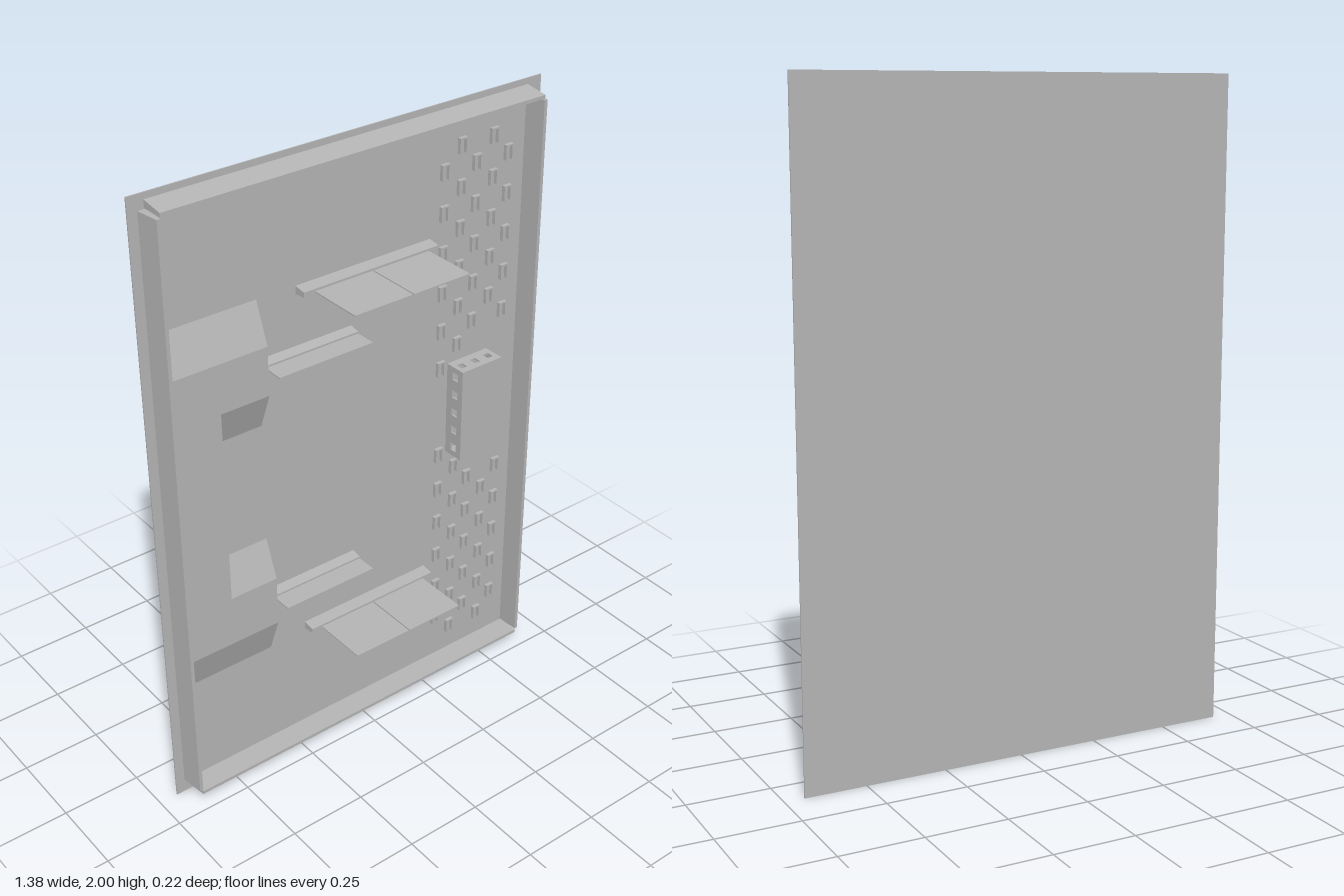
import * as THREE from 'three';

const BACK = -0.112;   // back face of the panel
const FACE = -0.108;   // front face of the panel

export function createModel() {
  const model = new THREE.Group();
  const grey = new THREE.MeshStandardMaterial({ color: 0xb4b4b4 });

  const add = (geometry, name, parent = model) => {
    const mesh = new THREE.Mesh(geometry, grey);
    mesh.name = name;
    parent.add(mesh);
    return mesh;
  };

  // box given by its limits on each axis
  const box = (name, x0, x1, y0, y1, z0, z1, parent) => {
    const g = new THREE.BoxGeometry(x1 - x0, y1 - y0, z1 - z0);
    g.translate((x0 + x1) / 2, (y0 + y1) / 2, (z0 + z1) / 2);
    return add(g, name, parent);
  };

  const extrude = (points, depth) => new THREE.ExtrudeGeometry(
    new THREE.Shape(points.map(([a, b]) => new THREE.Vector2(a, b))),
    { depth, bevelEnabled: false });

  // prism along x, with a profile of [y, z] points
  const prismX = (points, x0, x1) => extrude(points.map(([y, z]) => [-z, y]), x1 - x0)
    .rotateY(Math.PI / 2).translate(x0, 0, 0);

  // prism along y, with a profile of [x, z] points
  const prismY = (points, y0, y1) => extrude(points.map(([x, z]) => [x, -z]), y1 - y0)
    .rotateX(-Math.PI / 2).translate(0, y0, 0);

  // flat panel
  box('panel', -0.69, 0.69, 0, 2, BACK, FACE);

  // tapered rim, one half turned round to make the other
  for (const turn of [0, Math.PI]) {
    const rim = new THREE.Group();
    rim.name = turn ? 'rimRightAndBottom' : 'rimLeftAndTop';
    rim.position.y = 1;
    rim.rotation.z = turn;
    const profile = (inner) => [[inner, FACE], [inner + 0.024, FACE],
      [inner + 0.014, -0.034], [inner + 0.003, -0.034]];
    add(prismY(profile(0.636), -0.955, 0.955), 'sideRim', rim);
    add(prismX(profile(0.957), -0.64, 0.64), 'endRim', rim);
    model.add(rim);
  }

  // raised tray with sloping ends
  const tray = new THREE.Group();
  tray.name = 'raisedTray';
  model.add(tray);
  const trayTop = -0.062;
  const slab = (name, x0, x1, a, b, c, d) => add(
    prismX([[a, FACE], [b, trayTop], [c, trayTop], [d, FACE]], x0, x1), name, tray);
  slab('traySpine', -0.638, -0.48, 0.4, 0.525, 1.475, 1.6);
  slab('trayUpperArm', -0.48, -0.32, 1.2, 1.32, 1.475, 1.6);
  slab('trayLowerArm', -0.48, -0.32, 0.4, 0.525, 0.69, 0.81);

  // long shelf brackets, each with two thin fins
  for (const y of [1.587, 0.422]) {
    const bracket = new THREE.Group();
    bracket.name = 'longBracket';
    add(prismX([[y - 0.013, FACE], [y - 0.008, -0.068], [y + 0.008, -0.068],
      [y + 0.013, FACE]], -0.19, 0.285), 'bracketBase', bracket);
    box('fin', -0.153, 0.046, y - 0.003, y + 0.001, FACE, 0.112, bracket);
    box('fin', 0.05, 0.249, y - 0.003, y + 0.001, FACE, 0.112, bracket);
    model.add(bracket);
  }

  // short brackets
  for (const y of [1.4, 0.61]) {
    const bracket = new THREE.Group();
    bracket.name = 'shortBracket';
    add(prismX([[y - 0.014, FACE], [y - 0.008, -0.075], [y + 0.008, -0.075],
      [y + 0.014, FACE]], -0.32, 0), 'bracketBase', bracket);
    box('shortFin', -0.32, 0, y - 0.002, y + 0.002, FACE, -0.008, bracket);
    model.add(bracket);
  }

  // housing with slotted walls
  const housing = new THREE.Group();
  housing.name = 'housing';
  model.add(housing);
  const T = 0.006, H = 0.072;
  const wall = (length, slots) => {
    const s = new THREE.Shape([[0, 0], [length, 0], [length, H], [0, H]]
      .map(([x, y]) => new THREE.Vector2(x, y)));
    const step = length / slots;
    for (let i = 0; i < slots; i++) {
      const a = (i + 0.3) * step, b = (i + 0.7) * step;
      s.holes.push(new THREE.Path([[a, 0.025], [a, 0.05], [b, 0.05], [b, 0.025]]
        .map(([x, y]) => new THREE.Vector2(x, y))));
    }
    return new THREE.ExtrudeGeometry(s, { depth: T, bevelEnabled: false });
  };
  box('housingFace', 0.365, 0.52, 0.845, 1.16, -0.042, -0.036, housing);
  for (const y of [0.845 + T, 1.16]) {
    add(wall(0.155, 3).rotateX(Math.PI / 2).translate(0.365, y, FACE), 'housingEnd', housing);
  }
  for (const x of [0.365, 0.52 - T]) {
    add(wall(0.315, 5).rotateX(Math.PI / 2).rotateZ(Math.PI / 2)
      .translate(x, 0.845, FACE), 'housingSide', housing);
  }

  // staggered columns of small clips, mirrored above and below the middle
  const clips = new THREE.Group();
  clips.name = 'clips';
  model.add(clips);
  const columns = [[0.333, 1.795, 6], [0.396, 1.86, 6], [0.452, 1.795, 5],
    [0.515, 1.86, 5], [0.572, 1.795, 5]];
  for (const [x, top, count] of columns) {
    for (let i = 0; i < count; i++) {
      const upper = top - i * 0.128;
      for (const y of [upper, 2 - upper]) {
        const z = FACE + 0.012;
        box('clipSide', x - 0.014, x - 0.009, y - 0.024, y + 0.024, FACE, z, clips);
        box('clipSide', x + 0.009, x + 0.014, y - 0.024, y + 0.024, FACE, z, clips);
        box('clipTop', x - 0.009, x + 0.009, y + 0.019, y + 0.024, FACE, z, clips);
      }
    }
  }

  return model;
}
